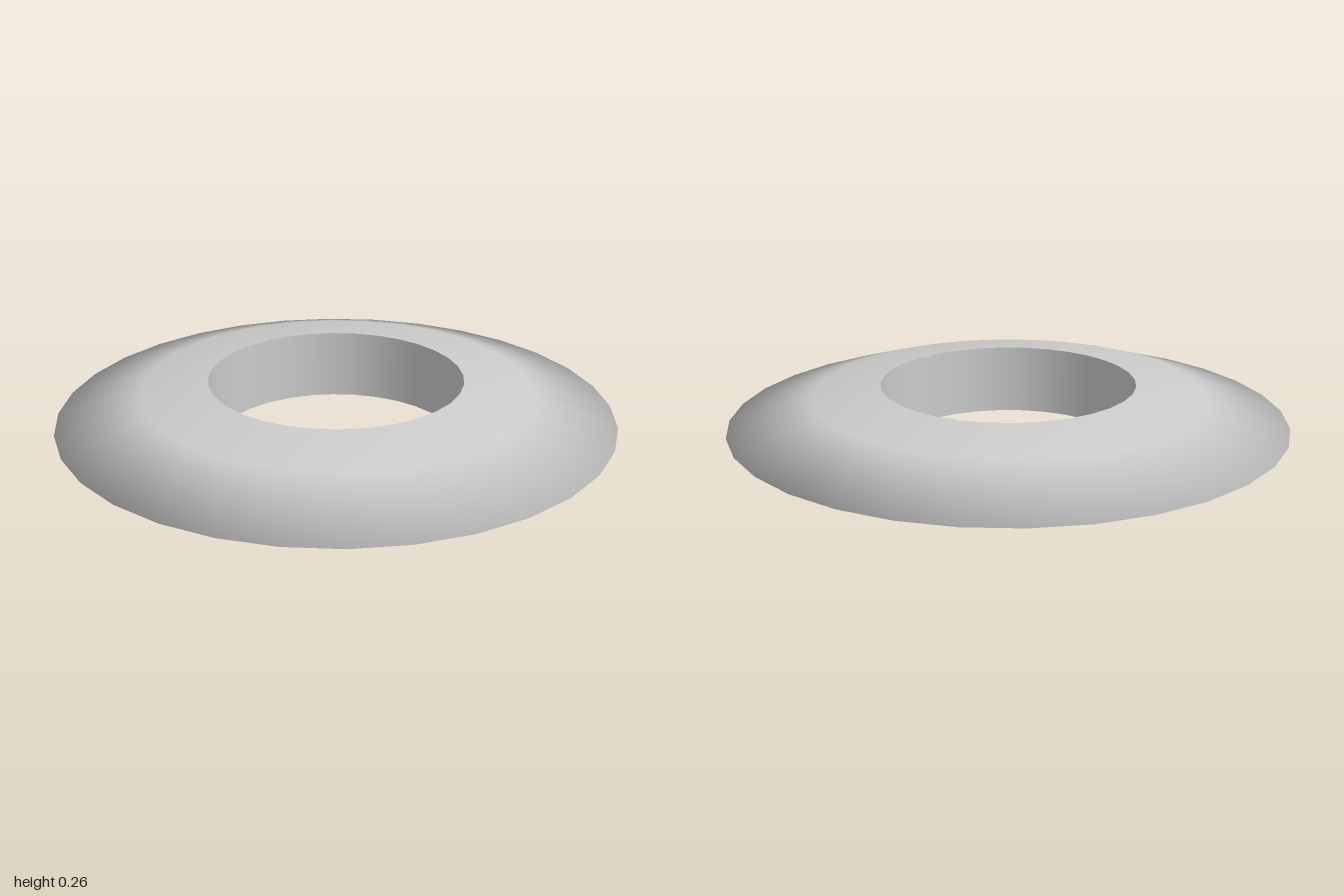
import * as THREE from 'three';

const SEGMENTS = 32;
const HOLE = 0.457;
const HEIGHT = 0.26;

export function createModel() {
  const group = new THREE.Group();
  group.name = 'ringDisc';
  const material = new THREE.MeshStandardMaterial({ color: 0xcccccc });

  // Revolves a profile of [radius, height] points around the y axis
  const addLathe = (name, profile) => {
    const points = profile.map(([r, y]) => new THREE.Vector2(r, y));
    const mesh = new THREE.Mesh(new THREE.LatheGeometry(points, SEGMENTS), material);
    mesh.name = name;
    group.add(mesh);
  };

  // Bevelled body, smooth from the underside round the thin rim to the top
  addLathe('body', [
    [HOLE, 0], [0.7, 0.033], [1, HEIGHT / 2], [0.7, HEIGHT - 0.033], [HOLE, HEIGHT],
  ]);

  // Straight wall of the centre hole, separate so its edges stay sharp
  addLathe('holeWall', [[HOLE, HEIGHT], [HOLE, 0]]);

  return group;
}
